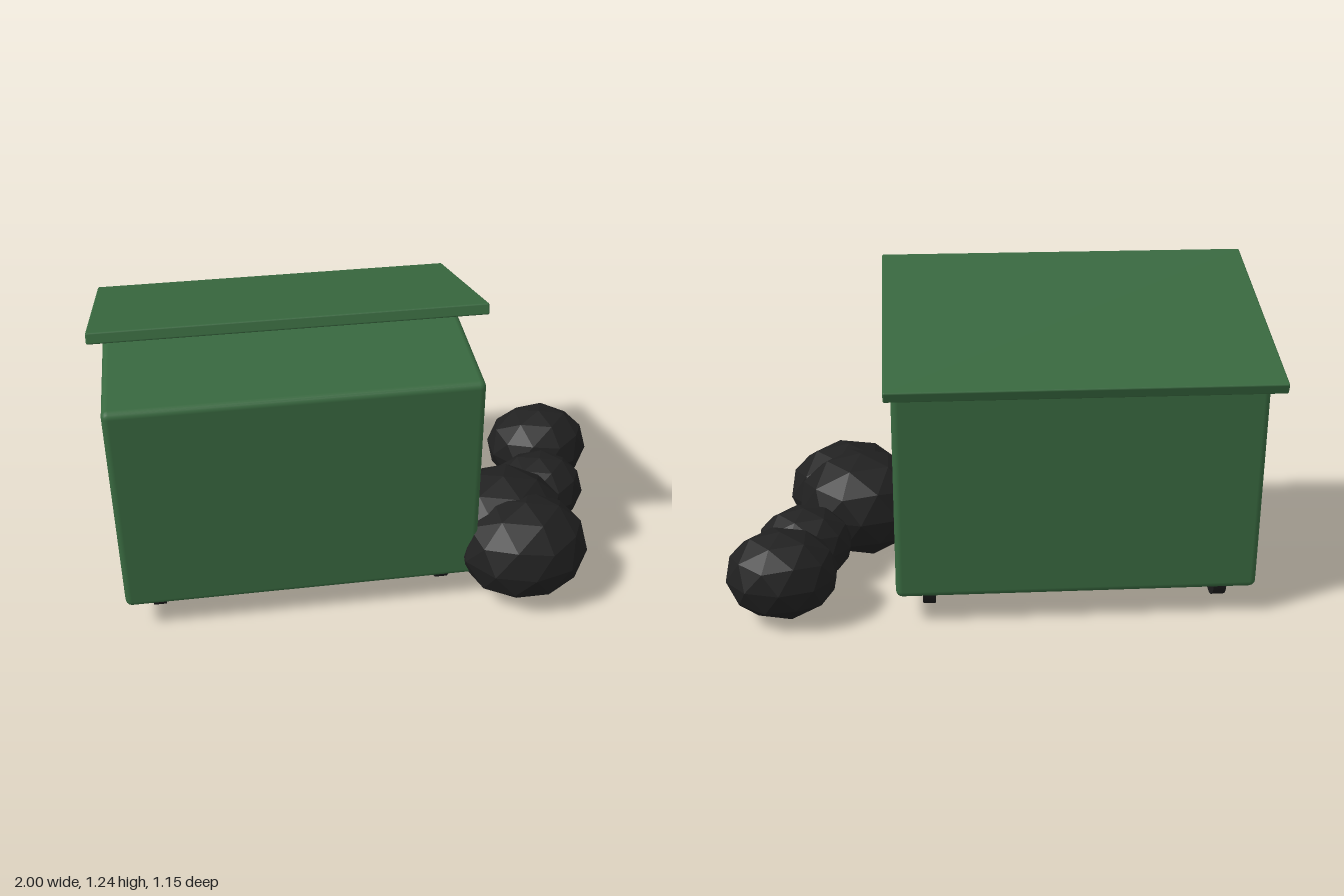
import * as THREE from 'three';
import { RoundedBoxGeometry } from 'three/addons/geometries/RoundedBoxGeometry.js';

export function createModel() {
  const model = new THREE.Group();
  model.name = 'dumpsterWithBags';

  const green = new THREE.MeshStandardMaterial({ color: 0x38683f });
  green.name = 'green paint';
  const bagBlack = new THREE.MeshStandardMaterial({ color: 0x202020, flatShading: true });
  bagBlack.name = 'black plastic';
  const rubber = new THREE.MeshStandardMaterial({ color: 0x1c1c1c });
  rubber.name = 'dark rubber';

  const add = (name, geometry, material, x, y, z) => {
    const mesh = new THREE.Mesh(geometry, material);
    mesh.name = name;
    mesh.position.set(x, y, z);
    model.add(mesh);
    return mesh;
  };

  // Bin body with softened edges
  add('body', new RoundedBoxGeometry(1.35, 0.88, 0.84, 2, 0.025), green, -0.3, 0.555, -0.03);

  // Tilted lid, raised at the front
  const lid = add('lid', new RoundedBoxGeometry(1.4, 0.041, 0.87, 2, 0.006), green, -0.3, 1.086, -0.155);
  lid.rotation.x = -0.317;

  // Four wheels sunk into the floor of the bin
  const wheel = new THREE.CylinderGeometry(0.075, 0.075, 0.048, 16).rotateZ(Math.PI / 2);
  for (const x of [-0.85, 0.25]) {
    for (const z of [-0.33, 0.27]) add('wheel', wheel, rubber, x, 0.112, z);
  }

  // Faceted rubbish bags: squashed spheres with a vertex pointing straight up
  const bag = new THREE.IcosahedronGeometry(1, 1)
    .rotateX(-Math.atan((1 + Math.sqrt(5)) / 2))
    .rotateY(Math.PI / 2);
  const bags = [
    // centre x, y, z, radius x, y, z
    [0.563, 0.207, 0.35, 0.253, 0.204, 0.227],
    [0.51, 0.216, 0.198, 0.26, 0.214, 0.238],
    [0.73, 0.16, -0.057, 0.188, 0.15, 0.167],
    [0.797, 0.18, -0.34, 0.213, 0.17, 0.188],
  ];
  for (const [x, y, z, rx, ry, rz] of bags) {
    add('rubbishBag', bag, bagBlack, x, y, z).scale.set(rx, ry, rz);
  }

  return model;
}
